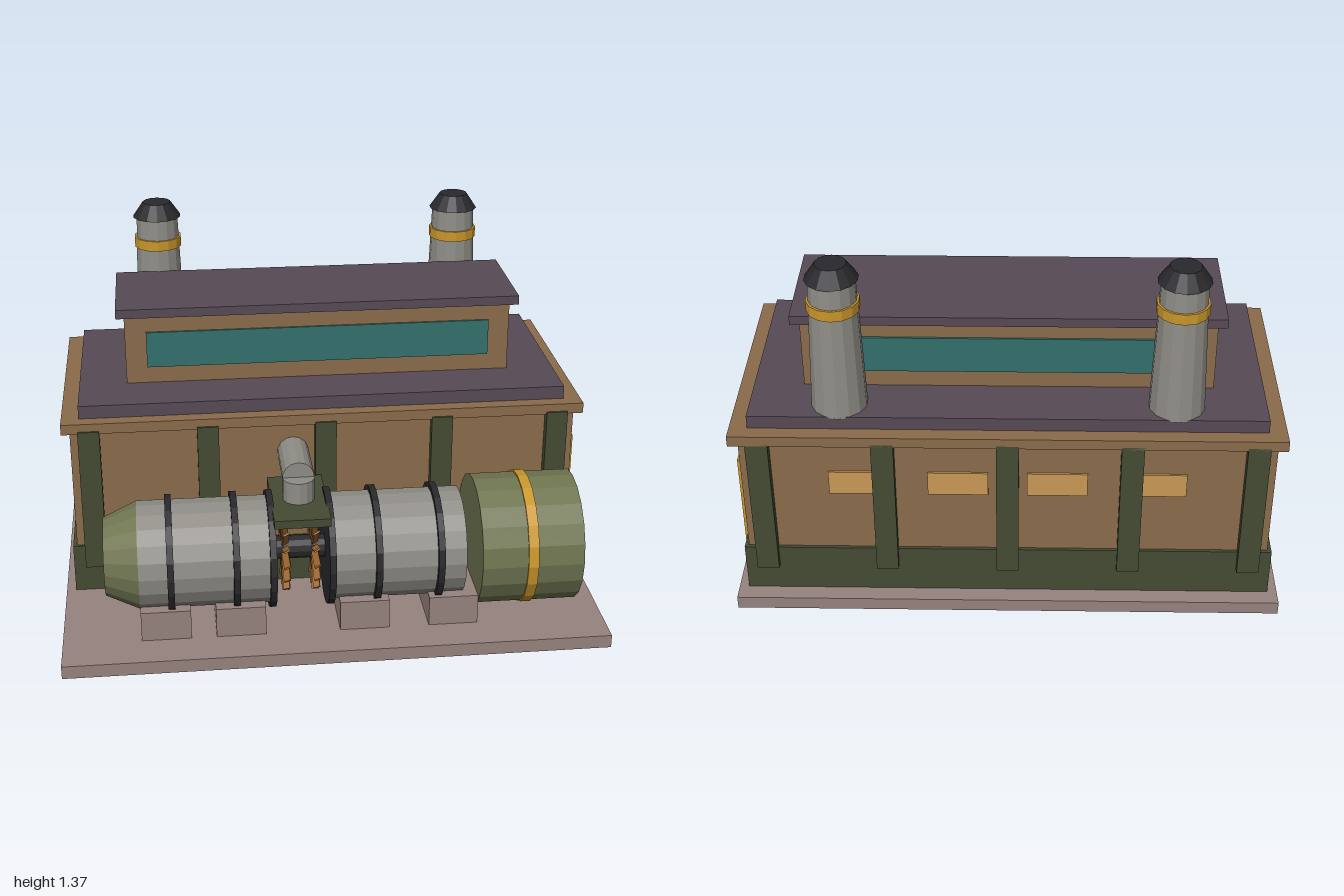
import * as THREE from 'three';

const paint = (color) => new THREE.MeshStandardMaterial({ color, flatShading: true });
const M = {
  stone: paint(0x96837f), wall: paint(0x8a6b4a), roof: paint(0x574a55), trim: paint(0x454b34),
  gold: paint(0xc9962b), steel: paint(0x8f8d86), olive: paint(0x6f7450), dark: paint(0x29282c),
  glass: paint(0x33706c), amber: paint(0xc99a56), copper: paint(0x9a6530),
};

export function createModel() {
  const root = new THREE.Group();
  root.name = 'powerStation';

  const add = (name, geo, mat, parent = root) => {
    const mesh = new THREE.Mesh(geo, mat);
    mesh.name = name;
    parent.add(mesh);
    return mesh;
  };
  // Box given by its limits on each axis
  const box = (name, mat, x0, x1, y0, y1, z0, z1, parent) => {
    const m = add(name, new THREE.BoxGeometry(x1 - x0, y1 - y0, z1 - z0), mat, parent);
    m.position.set((x0 + x1) / 2, (y0 + y1) / 2, (z0 + z1) / 2);
    return m;
  };

  // Base and hall
  box('base', M.stone, -1, 1, 0, 0.05, -0.725, 0.725);
  box('hallWalls', M.wall, -0.95, 0.95, 0.05, 0.72, -0.65, 0.18);
  box('plinth', M.trim, -0.965, 0.965, 0.05, 0.24, -0.662, 0.19);
  box('cornice', M.wall, -0.98, 0.98, 0.715, 0.755, -0.685, 0.207);
  box('roof', M.roof, -0.915, 0.915, 0.755, 0.805, -0.63, 0.155);

  // Pilasters on the front and back walls
  for (const x of [-0.88, -0.44, 0, 0.44, 0.88]) {
    box('frontPilaster', M.trim, x - 0.04, x + 0.04, 0.16, 0.725, 0.17, 0.215);
    box('backPilaster', M.trim, x - 0.04, x + 0.04, 0.16, 0.725, -0.685, -0.64);
  }

  // Small lit windows at the back
  for (const x of [-0.53, -0.177, 0.177, 0.53])
    box('backWindow', M.amber, x - 0.108, x + 0.108, 0.49, 0.585, -0.658, -0.64);

  // Roof lantern with a glass strip on both long sides
  box('lanternWalls', M.wall, -0.735, 0.735, 0.8, 1.08, -0.427, -0.048);
  box('lanternRoof', M.roof, -0.765, 0.765, 1.075, 1.11, -0.457, -0.023);
  box('lanternFrontGlass', M.glass, -0.655, 0.655, 0.87, 1.01, -0.06, -0.04);
  box('lanternBackGlass', M.glass, -0.655, 0.655, 0.87, 1.01, -0.435, -0.415);

  // Roller door on the +x end
  const door = new THREE.Group();
  door.name = 'rollerDoor';
  root.add(door);
  box('doorPanel', M.dark, 0.94, 0.969, 0.05, 0.545, -0.54, 0.07, door);
  box('doorJamb', M.gold, 0.94, 0.975, 0.05, 0.575, 0.063, 0.108, door);
  box('doorJamb', M.gold, 0.94, 0.975, 0.05, 0.575, -0.58, -0.533, door);
  box('doorLintel', M.gold, 0.94, 0.975, 0.54, 0.575, -0.533, 0.063, door);
  for (let i = 0; i < 4; i++) {
    const y = 0.12 + i * 0.107;
    box('doorSlat', M.trim, 0.96, 0.98, y - 0.005, y + 0.005, -0.533, 0.063, door);
  }

  // Chimneys
  for (const s of [-1, 1]) {
    const chimney = new THREE.Group();
    chimney.name = s > 0 ? 'leftChimney' : 'rightChimney';
    chimney.position.set(s * 0.595, 0, -0.537);
    root.add(chimney);
    const stack = (name, mat, rTop, rBottom, y0, y1) => {
      const geo = new THREE.CylinderGeometry(rTop, rBottom, y1 - y0, 14);
      add(name, geo, mat, chimney).position.y = (y0 + y1) / 2;
    };
    stack('chimneyShaft', M.steel, 0.082, 0.1, 0.8, 1.32);
    stack('chimneyBand', M.gold, 0.093, 0.093, 1.195, 1.235);
    stack('chimneyCap', M.dark, 0.055, 0.094, 1.315, 1.372);
  }

  // Turbine set, built along x around its own axis
  const turbine = new THREE.Group();
  turbine.name = 'turbine';
  turbine.position.set(0, 0.312, 0.405);
  root.add(turbine);
  const drum = (name, mat, x0, x1, r0, r1 = r0, sides = 20) => {
    const geo = new THREE.CylinderGeometry(r1, r0, x1 - x0, sides).rotateZ(-Math.PI / 2);
    add(name, geo, mat, turbine).position.x = (x0 + x1) / 2;
  };
  drum('endCone', M.olive, -0.838, -0.715, 0.145, 0.2);
  drum('rightCasing', M.steel, -0.715, -0.23, 0.2);
  drum('leftCasing', M.steel, -0.02, 0.475, 0.2);
  drum('shaft', M.dark, -0.24, 0, 0.043, 0.043, 12);
  drum('generator', M.olive, 0.525, 0.9, 0.243);
  drum('generatorBand', M.gold, 0.692, 0.73, 0.249);
  for (const x of [-0.6, -0.362, -0.23, -0.016, 0.153, 0.38])
    drum('casingRing', M.dark, x - 0.012, x + 0.012, 0.219);

  // Two bladed rotors in the open gap
  for (const x of [-0.177, -0.067]) {
    const rotor = new THREE.Group();
    rotor.name = 'rotor';
    rotor.position.x = x;
    turbine.add(rotor);
    const count = 16;
    for (let i = 0; i < count; i++) {
      const geo = new THREE.BoxGeometry(0.026, 0.125, 0.007);
      geo.rotateY(0.5).translate(0, 0.098, 0).rotateX((i / count) * Math.PI * 2);
      add('rotorBlade', geo, M.copper, rotor);
    }
  }

  // Cradles under the casings
  for (const x of [-0.623, -0.35, 0.105, 0.435])
    box('cradle', M.stone, x - 0.091, x + 0.091, 0.05, 0.165, 0.23, 0.582);

  // Bridge plate over the gap and the steam pipe into the hall
  box('bridgePlate', M.trim, -0.225, -0.02, 0.482, 0.514, 0.225, 0.582);
  const riser = add('steamRiser', new THREE.CylinderGeometry(0.059, 0.059, 0.095, 14), M.steel);
  riser.position.set(-0.122, 0.55, 0.405);
  const pipeGeo = new THREE.CylinderGeometry(0.059, 0.059, 0.235, 14).rotateX(Math.PI / 2);
  add('steamPipe', pipeGeo, M.steel).position.set(-0.122, 0.597, 0.288);

  return root;
}
